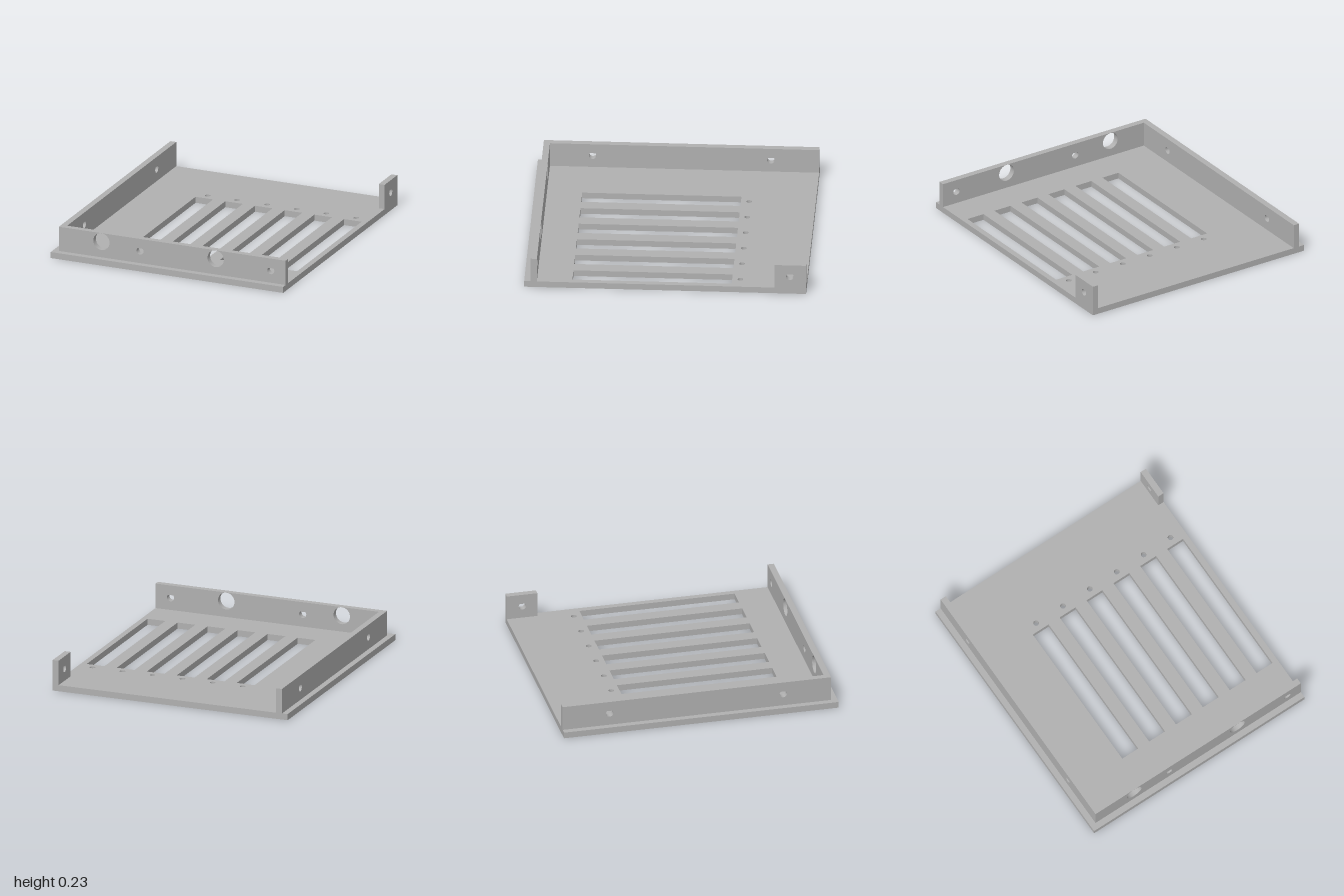
import * as THREE from 'three';

const BASE = 0.045, TOP = 0.227, WALL = 0.045;

function rect(Type, x0, y0, x1, y1) {
  const p = new Type();
  p.moveTo(x0, y0);
  p.lineTo(x1, y0);
  p.lineTo(x1, y1);
  p.lineTo(x0, y1);
  p.closePath();
  return p;
}

function circle(x, y, r) {
  return new THREE.Path().absarc(x, y, r, 0, Math.PI * 2, true);
}

// Round hole with a pointed top
function teardrop(x, y, r = 0.027) {
  const p = new THREE.Path();
  p.moveTo(x, y + r * Math.SQRT2);
  p.absarc(x, y, r, Math.PI * 0.75, Math.PI * 2.25, false);
  p.closePath();
  return p;
}

function slab(name, shape, holes, depth, material) {
  shape.holes.push(...holes);
  const geometry = new THREE.ExtrudeGeometry(shape, { depth, bevelEnabled: false, curveSegments: 24 });
  const mesh = new THREE.Mesh(geometry, material);
  mesh.name = name;
  return mesh;
}

export function createModel() {
  const group = new THREE.Group();
  group.name = 'slottedTray';
  const grey = new THREE.MeshStandardMaterial({ color: 0xb0b0b0 });
  grey.name = 'plain grey';

  // Floor plate with six slots, each with a small round hole behind it
  const floorHoles = [];
  for (let i = 0; i < 6; i++) {
    const x = -0.36 + i * 0.23;
    floorHoles.push(rect(THREE.Path, x - 0.068, -0.66, x + 0.068, 0.47));
    floorHoles.push(circle(x, 0.528, 0.02));
  }
  const floor = slab('floorPlate', rect(THREE.Shape, -0.9, -1, 0.9, 1), floorHoles, BASE, grey);
  floor.rotation.x = -Math.PI / 2;

  // Front wall with two large cable holes and two screw holes
  const front = slab('frontWall', rect(THREE.Shape, -0.857, BASE, 0.9, TOP), [
    circle(-0.527, 0.163, 0.063), circle(0.358, 0.163, 0.063),
    teardrop(-0.228, 0.136), teardrop(0.785, 0.136),
  ], WALL, grey);
  front.position.z = 0.91;

  // Long side wall
  const side = slab('rightWall', rect(THREE.Shape, -0.91, BASE, 1, TOP),
    [teardrop(-0.607, 0.136), teardrop(0.658, 0.136)], WALL, grey);
  side.rotation.y = Math.PI / 2;
  side.position.x = -0.857;

  // Short tab at the opposite rear corner
  const tab = slab('rearTab', rect(THREE.Shape, 0.777, BASE, 1, TOP),
    [teardrop(0.886, 0.136)], WALL, grey);
  tab.rotation.y = Math.PI / 2;
  tab.position.x = 0.9 - WALL;

  group.add(floor, front, side, tab);
  return group;
}
